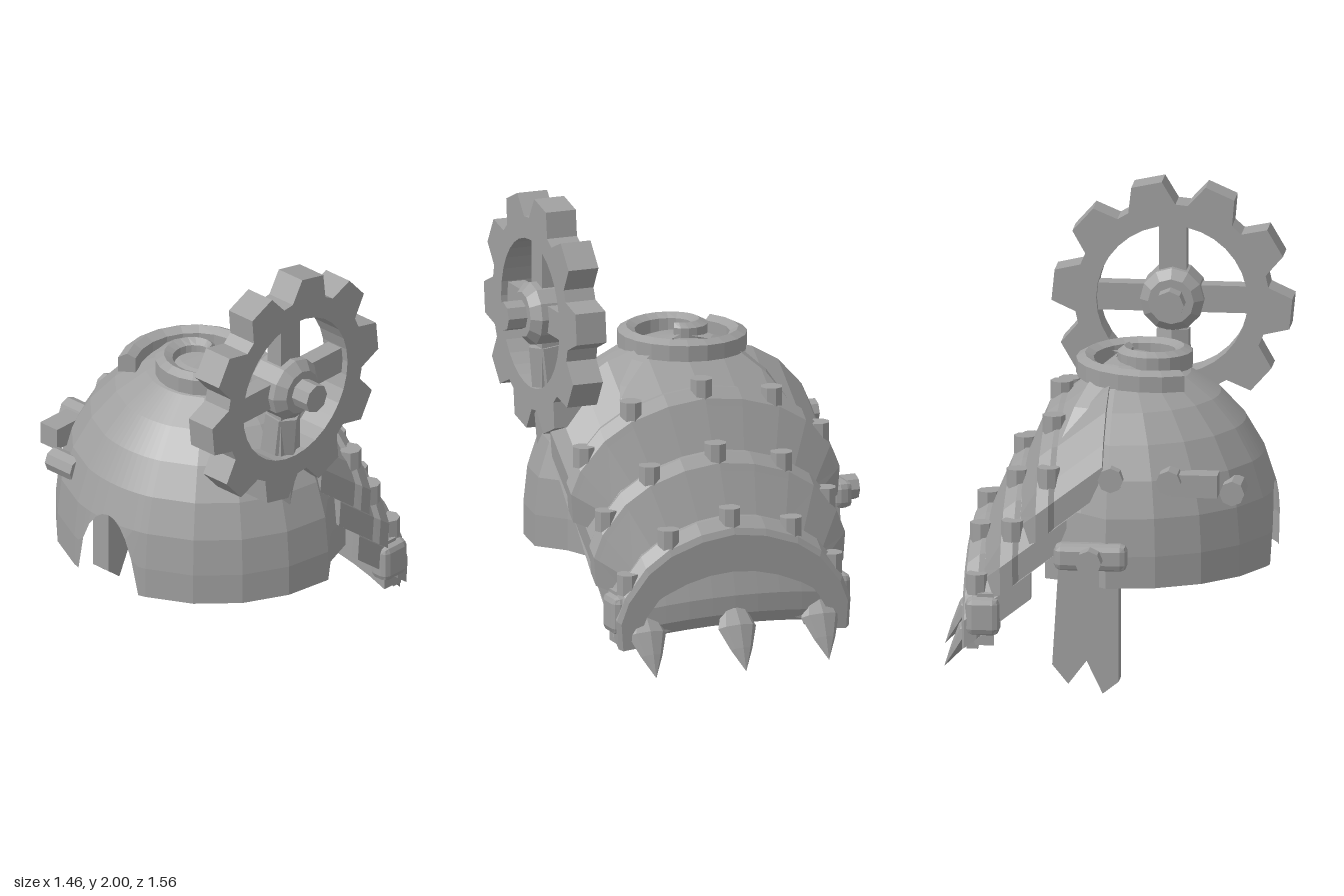
import * as THREE from 'three';
import { RoundedBoxGeometry } from 'three/addons/geometries/RoundedBoxGeometry.js';

const steel = new THREE.MeshStandardMaterial({ color: 0xa0a0a0, flatShading: true, side: THREE.DoubleSide });
steel.name = 'plain steel';

function add(parent, name, geometry, x = 0, y = 0, z = 0) {
  const mesh = new THREE.Mesh(geometry, steel);
  mesh.name = name;
  mesh.position.set(x, y, z);
  parent.add(mesh);
  return mesh;
}

// Skins a grid of points: rows of equal length, optionally closed into rings with end caps
function loft(rows, closed = false) {
  const n = rows[0].length, index = [];
  for (let i = 0; i < rows.length - 1; i++) {
    for (let j = 0; j < (closed ? n : n - 1); j++) {
      const a = i * n + j, b = i * n + (j + 1) % n;
      index.push(a, b, a + n, b, b + n, a + n);
    }
  }
  if (closed) {
    const last = (rows.length - 1) * n;
    for (let j = 1; j < n - 1; j++) index.push(0, j + 1, j, last, last + j, last + j + 1);
  }
  const g = new THREE.BufferGeometry();
  g.setAttribute('position', new THREE.Float32BufferAttribute(rows.flat(2), 3));
  g.setIndex(index);
  g.computeVertexNormals();
  return g;
}

// Shoulder dome: open towards the plates (+x), tucked in beneath them, with an arched cut-out at -x
const DOME = { x: -0.045, z: 0.01, r: 0.685, waist: 0.62, h: 0.74, notch: 0.165 };
function domeGeometry() {
  const angles = [62, 78, 90, 108, 126, 144];
  for (let a = 162; a < 198; a += 3) angles.push(a);
  angles.push(198, 216, 234, 252, 270, 282, 298);
  const rows = angles.map(deg => {
    const a = deg * Math.PI / 180, c = Math.cos(a), s = Math.sin(a);
    const k = s * DOME.r / DOME.notch;
    const base = c < 0 && Math.abs(k) < 1 ? 0.48 + 0.33 * Math.sqrt(1 - k * k) : 0.48;
    const tuck = c > 0.1 ? 0.87 : 1;
    const row = [];
    for (let i = -1; i <= 7; i++) {
      const level = i < 0 ? 0.48 : DOME.waist + DOME.h * Math.sin(i / 7 * Math.PI / 2);
      const y = Math.max(base, level);
      const q = Math.max(0, (y - DOME.waist) / DOME.h);
      const r = DOME.r * tuck * Math.sqrt(Math.max(0, 1 - q * q));
      row.push([DOME.x + r * c, y, DOME.z + r * s]);
    }
    return row;
  });
  return loft(rows);
}

// Half arch of a plate, as (z, y) from the lower end to the crown
const HALF_ARCH = [[0.6, 0], [0.61, 0.12], [0.57, 0.21], [0.46, 0.33], [0.34, 0.4], [0.17, 0.45], [0, 0.47]];
const ARCH = [...HALF_ARCH, ...HALF_ARCH.slice(0, -1).reverse().map(([z, y]) => [-z, y])];
const MID_Z = 0.025;

// Arched plate swept down its slope; its lip slants out by `slant` to meet the plate below
function plateGeometry(x1, baseY, width, slant) {
  const ring = [[0, 0], [0.7, 0], [0.78, 0.02], [0.96, 0.02], [1, 0], [1 + slant, -0.12], [0.86, -0.13], [0.8, -0.04], [0, -0.04]];
  return loft(ARCH.map(([z, y], i) => {
    const [az, ay] = ARCH[Math.max(0, i - 1)], [bz, by] = ARCH[Math.min(ARCH.length - 1, i + 1)];
    const len = Math.hypot(bz - az, by - ay), nz = (by - ay) / len, ny = (az - bz) / len;
    return ring.map(([t, off]) => [
      x1 - 0.3 * (1 - t),
      baseY + y + 0.23 * (1 - t) + ny * off,
      MID_Z + (z + nz * off) * width
    ]);
  }), true);
}

function gearGeometry() {
  const shape = new THREE.Shape(), step = Math.PI / 5;
  for (let i = 0; i < 10; i++) {
    const a = 0.1 + i * step;
    [[-0.25, 0.425], [-0.13, 0.525], [0.13, 0.525], [0.25, 0.425]].forEach(([d, r], j) => {
      shape[i + j ? 'lineTo' : 'moveTo'](r * Math.cos(a + d), r * Math.sin(a + d));
    });
  }
  shape.closePath();
  shape.holes.push(new THREE.Path().absarc(0, 0, 0.33, 0, Math.PI * 2, true));
  return new THREE.ExtrudeGeometry(shape, { depth: 0.14, bevelEnabled: false, curveSegments: 16 });
}

// Ornamental spiral with a bevelled section, lying on the crown
function spiralGeometry() {
  const rows = [];
  for (let i = 0; i <= 30; i++) {
    const t = i / 30, a = -2.2 + t * 8.8;
    const r = 0.31 - 0.24 * Math.pow(t, 1.05), w = 0.038 * Math.min(1, 0.5 + 4 * (1 - t));
    const cx = -0.14, cz = 0.01;
    rows.push([[-w, -0.05], [-w, 0.02], [0, 0.04], [w, 0.02], [w, -0.05]].map(([d, h]) => {
      const x = cx + (r + d) * Math.cos(a), z = cz + (r + d) * Math.sin(a);
      return [x, 1.37 - 0.55 * r * r + h, z];
    }));
  }
  return loft(rows, true);
}

export function createModel() {
  const model = new THREE.Group();
  model.name = 'armouredShoulder';
  add(model, 'dome', domeGeometry());
  add(model, 'crownSpiral', spiralGeometry());

  // Three overlapping plates with vertical rivets
  const rivet = new THREE.CylinderGeometry(0.05, 0.05, 0.09, 8);
  for (let i = 0; i < 3; i++) {
    const width = 1 - 0.065 * i, x1 = 0.28 + 0.16 * i, baseY = 0.65 - 0.25 * i;
    const plate = new THREE.Group();
    plate.name = 'shoulderPlate' + (i + 1);
    model.add(plate);
    add(plate, 'archedPlate', plateGeometry(x1, baseY, width, i < 2 ? 0.25 : 0));
    for (const [z, y] of [[-0.55, 0.24], [-0.33, 0.42], [0, 0.49], [0.33, 0.42], [0.55, 0.24]]) {
      add(plate, 'rivet', rivet, x1 - 0.06, baseY + y + 0.045, MID_Z + z * width);
    }
  }

  // Front face that closes the lowest plate
  const face = new THREE.Shape();
  const edge = ARCH.map(([z, y]) => [-z * 0.86, 0.15 + y]);
  edge.forEach(([u, v], i) => face[i ? 'lineTo' : 'moveTo'](u, v));
  face.lineTo(0.28, 0.22);
  face.lineTo(0, 0.25);
  face.lineTo(-0.28, 0.22);
  const faceMesh = add(model, 'lowerFace', new THREE.ExtrudeGeometry(face, { depth: 0.05, bevelEnabled: false }), 0.53, 0, MID_Z);
  faceMesh.rotation.y = Math.PI / 2;

  // Bowed bumper along the bottom, with an end block on each side
  const bumper = [];
  for (let i = 0; i <= 10; i++) {
    const u = i / 5 - 1, y = 0.32 - 0.05 * u * u, x = 0.57 - 0.05 * u * u;
    bumper.push([[-0.06, -0.1], [0.02, -0.1], [0.04, -0.05], [0.04, 0.03], [0.01, 0.13], [-0.06, 0.13]]
      .map(([dx, dy]) => [x + dx, y + dy, MID_Z + u * 0.53]));
  }
  add(model, 'bumper', loft(bumper, true));
  for (const side of [-1, 1]) {
    add(model, 'endBlock', new RoundedBoxGeometry(0.15, 0.17, 0.1, 1, 0.03), 0.51, 0.3, MID_Z + side * 0.51);
  }

  // Flattened claw spikes pointing outwards and down
  const claw = [[0, 0], [0.06, 0.01], [0.088, 0.09], [0.05, 0.19], [0, 0.29]].map(p => new THREE.Vector2(...p));
  for (const side of [-1, 0, 1]) {
    const tip = new THREE.Vector3(side ? 0.69 : 0.73, 0.04, MID_Z + side * 0.405);
    const dir = new THREE.Vector3(0.15, -0.25, 0).normalize();
    const spike = add(model, 'spike', new THREE.LatheGeometry(claw, 8));
    spike.scale.x = 0.5;
    spike.position.copy(tip).addScaledVector(dir, -0.29);
    spike.quaternion.setFromUnitVectors(new THREE.Vector3(0, 1, 0), dir);
  }

  // Gear wheel with spokes, hub, axle and a post that runs down through the dome
  const gear = new THREE.Group();
  gear.name = 'gearWheel';
  gear.position.set(-0.205, 1.478, 0.58);
  model.add(gear);
  add(gear, 'rim', gearGeometry(), 0, 0, -0.07);
  add(gear, 'spokeAcross', new THREE.BoxGeometry(0.68, 0.12, 0.08));
  add(gear, 'spokeUpright', new THREE.BoxGeometry(0.12, 0.68, 0.08));
  const hubProfile = [[0, -0.11], [0.1, -0.11], [0.14, -0.07], [0.14, 0.07], [0.1, 0.11], [0, 0.11]];
  add(gear, 'hub', new THREE.LatheGeometry(hubProfile.map(p => new THREE.Vector2(...p)), 12)).rotation.x = Math.PI / 2;
  add(gear, 'axle', new THREE.CylinderGeometry(0.065, 0.065, 0.385, 8), 0, 0, 0.005).rotation.x = Math.PI / 2;
  add(gear, 'post', new THREE.CylinderGeometry(0.08, 0.1, 0.62, 6), 0, -0.45, -0.04).rotation.x = 0.12;

  // Hanging strip with a forked end, clasp and pin at the back
  const strip = new THREE.Shape([[-0.1, 0.62], [-0.1, 0.06], [-0.03, 0.005], [0.04, 0.15], [0.12, 0.045], [0.19, 0.13], [0.16, 0.62]]
    .map(p => new THREE.Vector2(...p)));
  add(model, 'hangingStrip', new THREE.ExtrudeGeometry(strip, { depth: 0.09, bevelEnabled: false }), 0, 0, -0.65);
  add(model, 'clasp', new RoundedBoxGeometry(0.32, 0.12, 0.09, 1, 0.03), 0.02, 0.62, -0.665);
  add(model, 'claspPin', new THREE.CylinderGeometry(0.057, 0.057, 0.2, 8), 0.02, 0.615, -0.68).rotation.x = Math.PI / 2;

  // Small plate and bolts on the back of the dome
  add(model, 'backPlate', new THREE.BoxGeometry(0.2, 0.1, 0.1), -0.42, 0.92, -0.52);
  for (const [x, y, z] of [[-0.31, 0.94, -0.53], [-0.57, 0.86, -0.37], [-0.06, 0.95, -0.55]]) {
    add(model, 'backBolt', new THREE.CylinderGeometry(0.055, 0.055, 0.15, 8), x, y, z).rotation.x = Math.PI / 2;
  }
  return model;
}
